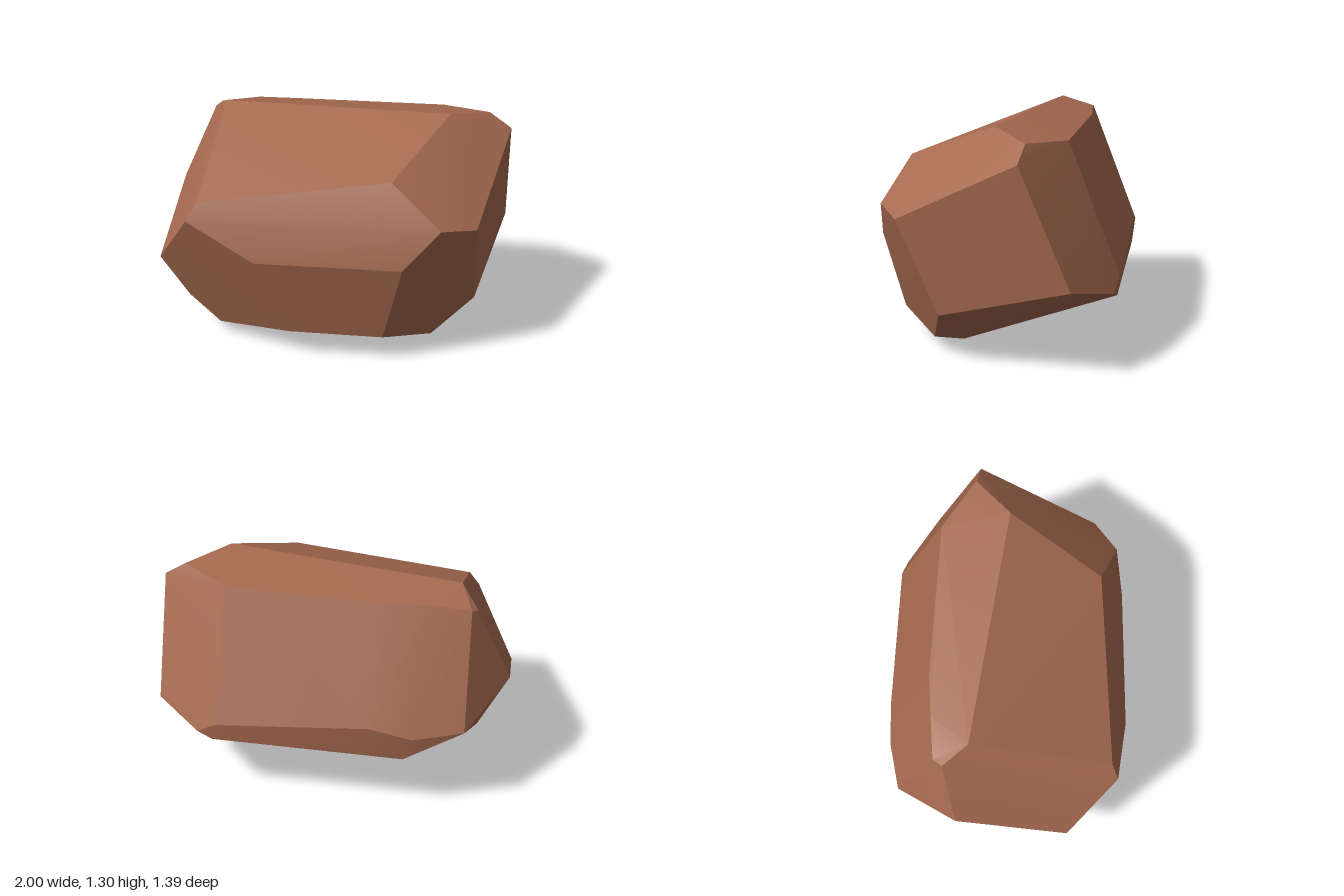
import * as THREE from 'three';
import { ConvexGeometry } from 'three/addons/geometries/ConvexGeometry.js';
import { toCreasedNormals } from 'three/addons/utils/BufferGeometryUtils.js';

// corners of the boulder's facets, grouped by region
const corners = {
  top: [[-0.70, 1.265, -0.20], [0.65, 1.305, -0.01], [0.87, 1.26, -0.21], [0.59, 1.23, -0.40],
    [-0.30, 1.22, -0.43], [-0.54, 1.225, -0.41], [-0.77, 1.195, -0.39], [-0.80, 1.18, -0.34]],
  front: [[0.37, 1.08, 0.52], [-0.70, 0.93, 0.59], [-0.76, 0.83, 0.63], [0.65, 0.855, 0.63],
    [0.45, 0.63, 0.68], [-0.37, 0.63, 0.695], [0.34, 0.16, 0.585], [-0.19, 0.16, 0.59]],
  rightEnd: [[1, 1.175, -0.19], [1, 0.51, -0.47], [0.88, 0.90, 0.28], [0.84, 0.82, 0.50],
    [0.84, 0.29, 0.27], [0.89, 0.41, 0.06]],
  leftEnd: [[-1, 0.47, 0.36], [-1, 0.735, -0.28], [-0.84, 0.215, 0.33], [-0.84, 0.55, -0.50],
    [-0.78, 0.565, -0.63]],
  back: [[0.73, 0.43, -0.665], [0.62, 0.50, -0.69], [-0.26, 0.58, -0.70], [-0.50, 0.53, -0.695]],
  base: [[0.60, 0.075, 0.35], [0.47, 0.022, 0.21], [-0.45, 0, 0.21], [-0.65, 0.07, 0.37],
    [-0.45, 0.385, -0.68], [0.64, 0.395, -0.68]],
};

export function createModel() {
  const model = new THREE.Group();
  model.name = 'boulder';
  const stone = new THREE.MeshStandardMaterial({ color: 0xa5694f });
  stone.name = 'reddish brown stone';

  // faceted hull: crisp edges between facets, soft shading over shallow bends
  const points = Object.values(corners).flat().map((p) => new THREE.Vector3(...p));
  const rock = new THREE.Mesh(toCreasedNormals(new ConvexGeometry(points), 0.3), stone);
  rock.name = 'rock';
  model.add(rock);
  return model;
}
